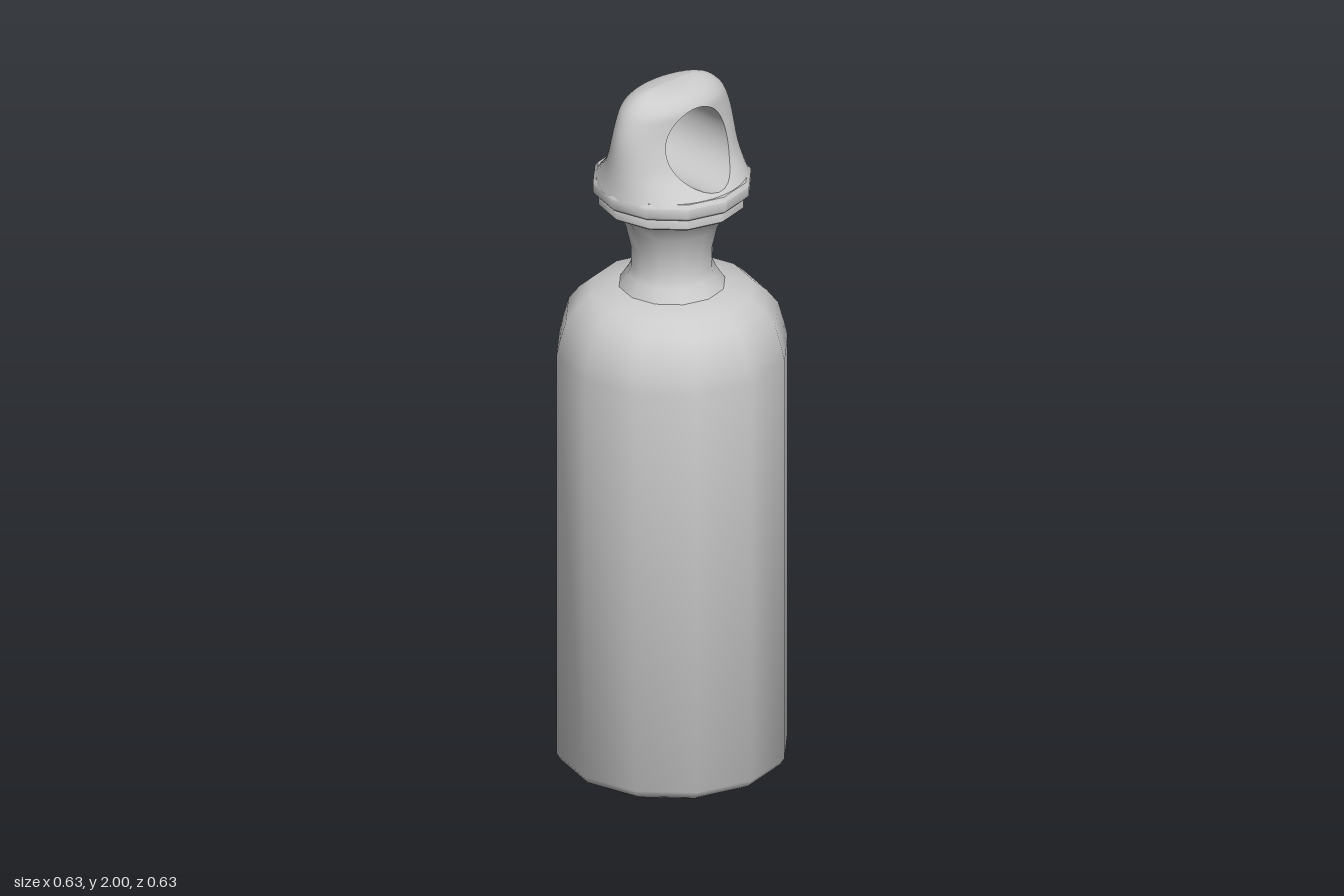
import * as THREE from 'three';
import { mergeVertices, toCreasedNormals } from 'three/addons/utils/BufferGeometryUtils.js';

const material = new THREE.MeshStandardMaterial({ color: 0xcccccc, side: THREE.DoubleSide });

// Twelve-sided turned part from [radius, height] pairs, bottom to top
function turned(name, profile) {
  const points = profile.map(([r, y]) => new THREE.Vector2(r, y));
  const geometry = toCreasedNormals(new THREE.LatheGeometry(points, 12), 0.75);
  const mesh = new THREE.Mesh(geometry, material);
  mesh.name = name;
  return mesh;
}

function gridGeometry(positions, indices) {
  const geometry = new THREE.BufferGeometry();
  geometry.setAttribute('position', new THREE.Float32BufferAttribute(positions, 3));
  geometry.setIndex(indices);
  const merged = mergeVertices(geometry, 1e-5);
  merged.computeVertexNormals();
  return merged;
}

// Carrying loop: elliptical sections narrowing to a ridge, pierced front to back
function carryingLoop() {
  const holeY = 1.842, holeR = 0.108, rows = 12;

  // Half width (x) and half depth (z) by height
  const sections = new THREE.CatmullRomCurve3([
    [0.212, 1.715, 0.208], [0.207, 1.745, 0.178], [0.202, 1.79, 0.14],
    [0.194, 1.87, 0.108], [0.182, 1.915, 0.1], [0.165, 1.95, 0.095],
    [0.135, 1.98, 0.07], [0.1, 1.995, 0.035], [0.07, 2, 0],
  ].map((p) => new THREE.Vector3(...p))).getPoints(40);

  function depthAt(x, y) {
    let i = 1;
    while (i < sections.length - 1 && sections[i].y < y) i++;
    const p = sections[i - 1], q = sections[i];
    const t = THREE.MathUtils.clamp((y - p.y) / (q.y - p.y || 1), 0, 1);
    const a = p.x + (q.x - p.x) * t, b = p.z + (q.z - p.z) * t;
    return b * Math.sqrt(Math.max(0, 1 - (x / a) ** 2));
  }

  // Outline seen from the front, anticlockwise
  const outline = sections.map((p) => [p.x, p.y]);
  for (let i = 1; i < 10; i++) outline.push([0.07 - 0.014 * i, 2]);
  for (let i = sections.length - 1; i >= 0; i--) outline.push([-sections[i].x, sections[i].y]);
  for (let i = 1; i < 24; i++) outline.push([-0.212 * Math.cos(i * Math.PI / 24), sections[0].y]);
  const n = outline.length;

  // Front and back shells, from the hole's rim to the outline
  const shell = [], shellIndex = [], wall = [], wallIndex = [];
  for (const side of [1, -1]) {
    const start = shell.length / 3;
    for (let r = 0; r <= rows; r++) {
      const t = r === rows ? 1 : Math.sin((r / rows) * Math.PI / 2);
      for (const [ox, oy] of outline) {
        const k = holeR / Math.hypot(ox, oy - holeY);
        const x = ox * (k + (1 - k) * t);
        const y = holeY + (oy - holeY) * (k + (1 - k) * t);
        const z = depthAt(x, y);
        shell.push(x * side, y, z * side);
        if (r === 0 && side === 1) wall.push(x, y, z, x, y, -z);
      }
    }
    for (let r = 0; r < rows; r++) {
      for (let i = 0; i < n; i++) {
        const j = (i + 1) % n, a = start + r * n, b = a + n;
        shellIndex.push(a + i, b + i, b + j, a + i, b + j, a + j);
      }
    }
  }
  // Wall of the hole
  for (let i = 0; i < n; i++) {
    const a = 2 * i, b = 2 * ((i + 1) % n);
    wallIndex.push(a, b, b + 1, a, b + 1, a + 1);
  }

  const group = new THREE.Group();
  group.name = 'carryingLoop';
  const outer = new THREE.Mesh(gridGeometry(shell, shellIndex), material);
  outer.name = 'loopShell';
  const inner = new THREE.Mesh(gridGeometry(wall, wallIndex), material);
  inner.name = 'loopHole';
  group.add(outer, inner);
  return group;
}

export function createModel() {
  const model = new THREE.Group();
  model.name = 'bottle';
  model.add(
    turned('body', [
      [0, 0], [0.29, 0], [0.305, 0.01], [0.317, 0.03], [0.317, 1.21],
      [0.308, 1.25], [0.291, 1.31], [0.26, 1.35], [0.222, 1.383], [0.145, 1.4],
    ]),
    turned('neck', [
      [0.145, 1.4], [0.122, 1.435], [0.111, 1.46], [0.113, 1.52],
      [0.127, 1.58], [0.148, 1.62], [0.168, 1.645],
    ]),
    turned('capRing', [
      [0.1, 1.645], [0.196, 1.645], [0.201, 1.65], [0.201, 1.674], [0.196, 1.68],
    ]),
    turned('capLip', [
      [0.19, 1.68], [0.21, 1.68], [0.217, 1.688], [0.217, 1.715], [0.208, 1.726], [0, 1.726],
    ]),
    carryingLoop(),
  );
  return model;
}
